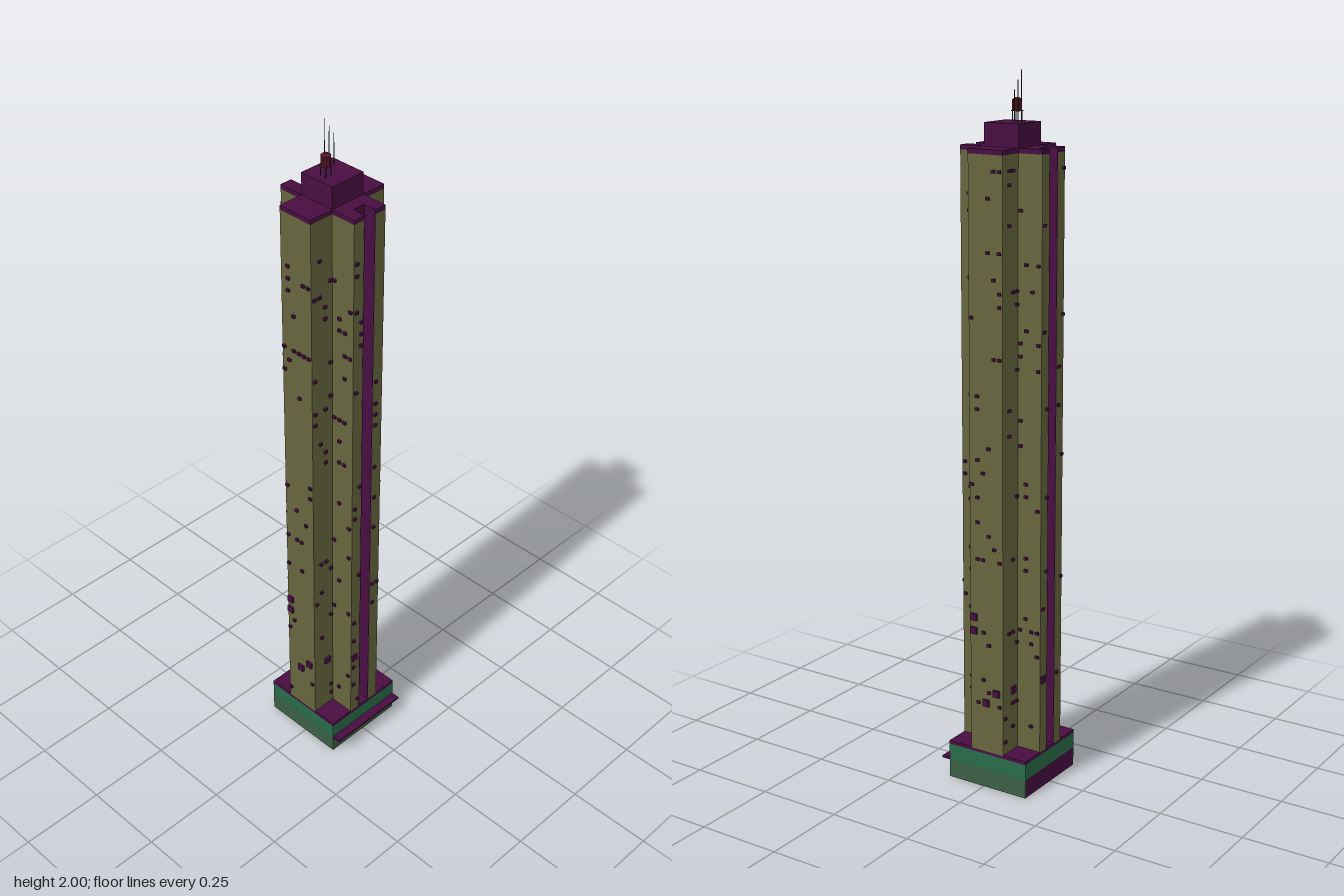
import * as THREE from 'three';
import { mergeGeometries } from 'three/addons/utils/BufferGeometryUtils.js';

const mat = (color) => new THREE.MeshStandardMaterial({ color, flatShading: true, side: THREE.DoubleSide });
const olive = mat(0x66663f), purple = mat(0x480e42), green = mat(0x286b48);
const paleGreen = mat(0x3c5f44), rust = mat(0x55152a), dark = mat(0x333333);

// Plan: a cross with a notch in the front and back arms
const X = 0.13, C = 0.055, N = 0.02;
const BACK = -0.14, FRONT = 0.119, ARM_BACK = -0.065, ARM_FRONT = 0.043;
const NOTCH_FRONT = 0.08, NOTCH_BACK = -0.104;
const MID = (BACK + FRONT) / 2, DEPTH = FRONT - BACK;
const BASE_TOP = 0.11, ROOF = 1.803;

const boxGeo = (w, h, d, x, y, z) => new THREE.BoxGeometry(w, h, d).translate(x, y, z);

function add(group, name, geometry, material) {
  const mesh = new THREE.Mesh(geometry, material);
  mesh.name = name;
  group.add(mesh);
  return mesh;
}

// Extrudes the cross plan between two heights
function crossPrism(y0, y1) {
  const half = [
    [N, NOTCH_FRONT], [N, FRONT], [C, FRONT], [C, ARM_FRONT], [X, ARM_FRONT],
    [X, ARM_BACK], [C, ARM_BACK], [C, BACK], [N, BACK], [N, NOTCH_BACK],
  ];
  const outline = [...half, ...half.map(([x, z]) => [-x, z]).reverse()];
  const shape = new THREE.Shape(outline.map(([x, z]) => new THREE.Vector2(x, -z)));
  return new THREE.ExtrudeGeometry(shape, { depth: y1 - y0, bevelEnabled: false })
    .rotateX(-Math.PI / 2).translate(0, y0, 0);
}

function createBase() {
  const base = new THREE.Group();
  base.name = 'base';
  const t = 0.003, mid = 0.055;
  const rows = [[0, mid, paleGreen, 'lower'], [mid, 0.102, green, 'upper']];
  for (const [y0, y1, material, row] of rows) {
    const h = y1 - y0, y = (y0 + y1) / 2;
    for (const s of [-1, 1]) add(base, row + 'SideWall', boxGeo(t, h, DEPTH, s * (X - t / 2), y, MID), material);
    add(base, row + 'FrontWall', boxGeo(2 * X - 2 * t, h, t, 0, y, FRONT - t / 2), material);
    add(base, row + 'BackWall', boxGeo(2 * X - 2 * t, h, t, 0, y, BACK + t / 2), row === 'lower' ? purple : material);
  }
  add(base, 'baseRoof', boxGeo(2 * X, 0.01, DEPTH, 0, 0.107, MID), purple);
  add(base, 'canopy', boxGeo(2 * X, 0.006, 0.028, 0, mid, FRONT + 0.012), purple);
  return base;
}

function createTower() {
  const tower = new THREE.Group();
  tower.name = 'tower';
  add(tower, 'shaft', crossPrism(BASE_TOP, 1.79), olive);
  add(tower, 'roofEdge', crossPrism(1.79, ROOF), purple);
  // Purple lining of the two notches
  const h = ROOF - BASE_TOP, y = (ROOF + BASE_TOP) / 2, t = 0.001;
  for (const [inner, outer] of [[NOTCH_FRONT, FRONT], [NOTCH_BACK, BACK]]) {
    const d = Math.abs(outer - inner);
    add(tower, 'notchLining', mergeGeometries([
      boxGeo(2 * N, h, t, 0, y, inner + Math.sign(outer) * t),
      boxGeo(t, h, d, N - t, y, (inner + outer) / 2),
      boxGeo(t, h, d, t - N, y, (inner + outer) / 2),
    ]), purple);
  }
  return tower;
}

// Small units scattered over a grid of floors and columns on each wall
function createWallUnits() {
  let seed = 7;
  const random = () => (seed = (seed * 16807) % 2147483647) / 2147483647;
  const parts = [];
  // axis is the wall's normal, at its position, from..to its span
  const scatter = (axis, at, sign, from, to) => {
    const columns = Math.round((to - from) / 0.019);
    const step = (to - from) / columns;
    for (let floor = 0; floor < 46; floor++) {
      for (let c = 0; c < columns; c++) {
        if (random() > 0.11) continue;
        const u = from + step * (c + 0.5), y = 0.15 + floor * 0.0355, p = at + sign * 0.003;
        parts.push(axis === 'x' ? boxGeo(0.006, 0.008, 0.01, p, y, u) : boxGeo(0.01, 0.008, 0.006, u, y, p));
      }
    }
  };
  for (const s of [-1, 1]) {
    const span = (a, b) => (s > 0 ? [a, b] : [-b, -a]);
    scatter('x', s * X, s, ARM_BACK, ARM_FRONT);
    scatter('x', s * C, s, ARM_FRONT, FRONT);
    scatter('x', s * C, s, BACK, ARM_BACK);
    scatter('z', ARM_FRONT, 1, ...span(C, X));
    scatter('z', ARM_BACK, -1, ...span(C, X));
    scatter('z', FRONT, 1, ...span(N, C));
    scatter('z', BACK, -1, ...span(N, C));
  }
  // Larger units near the foot
  const big = 0.02;
  for (const s of [-1, 1]) {
    for (const [z, y] of [[0.03, 0.51], [0.03, 0.47], [-0.01, 0.26], [-0.045, 0.295]]) {
      parts.push(boxGeo(0.008, big, big, s * (X + 0.003), y, s > 0 ? z : -0.022 - z));
    }
    for (const [x, y] of [[-0.08, 0.295], [0.07, 0.26]]) {
      parts.push(boxGeo(big, big, 0.008, s * x, y, s > 0 ? ARM_FRONT + 0.003 : ARM_BACK - 0.003));
    }
    parts.push(boxGeo(big, big, 0.008, -s * 0.043, 0.33, s > 0 ? FRONT + 0.002 : BACK - 0.002));
  }
  return mergeGeometries(parts);
}

function createRoofTop() {
  const top = new THREE.Group();
  top.name = 'roofTop';
  const crownTop = 1.865;
  add(top, 'crown', boxGeo(2 * C, crownTop - 1.79, ARM_FRONT - ARM_BACK, 0, (crownTop + 1.79) / 2, (ARM_FRONT + ARM_BACK) / 2), purple);

  // Water tank on four legs
  const tx = -0.024, tz = -0.01;
  add(top, 'tank', new THREE.CylinderGeometry(0.013, 0.013, 0.028, 10).translate(tx, 1.907, tz), rust);
  add(top, 'tankLid', new THREE.CylinderGeometry(0.005, 0.014, 0.006, 10).translate(tx, 1.924, tz), rust);
  add(top, 'tankDeck', boxGeo(0.024, 0.002, 0.024, tx, 1.892, tz), dark);
  for (const sx of [-1, 1]) for (const sz of [-1, 1]) {
    add(top, 'tankLeg', boxGeo(0.002, 0.028, 0.002, tx + sx * 0.009, 1.878, tz + sz * 0.009), dark);
  }

  // Three masts of falling height
  [[0, 2.0], [0.017, 1.975], [0.033, 1.95]].forEach(([x, tip]) => {
    add(top, 'mast', new THREE.CylinderGeometry(0.001, 0.0015, tip - crownTop, 6).translate(x, (tip + crownTop) / 2, -0.039), dark);
  });
  return top;
}

export function createModel() {
  const model = new THREE.Group();
  model.name = 'skyscraper';
  model.add(createBase(), createTower(), createRoofTop());
  add(model, 'wallUnits', createWallUnits(), purple);
  return model;
}
